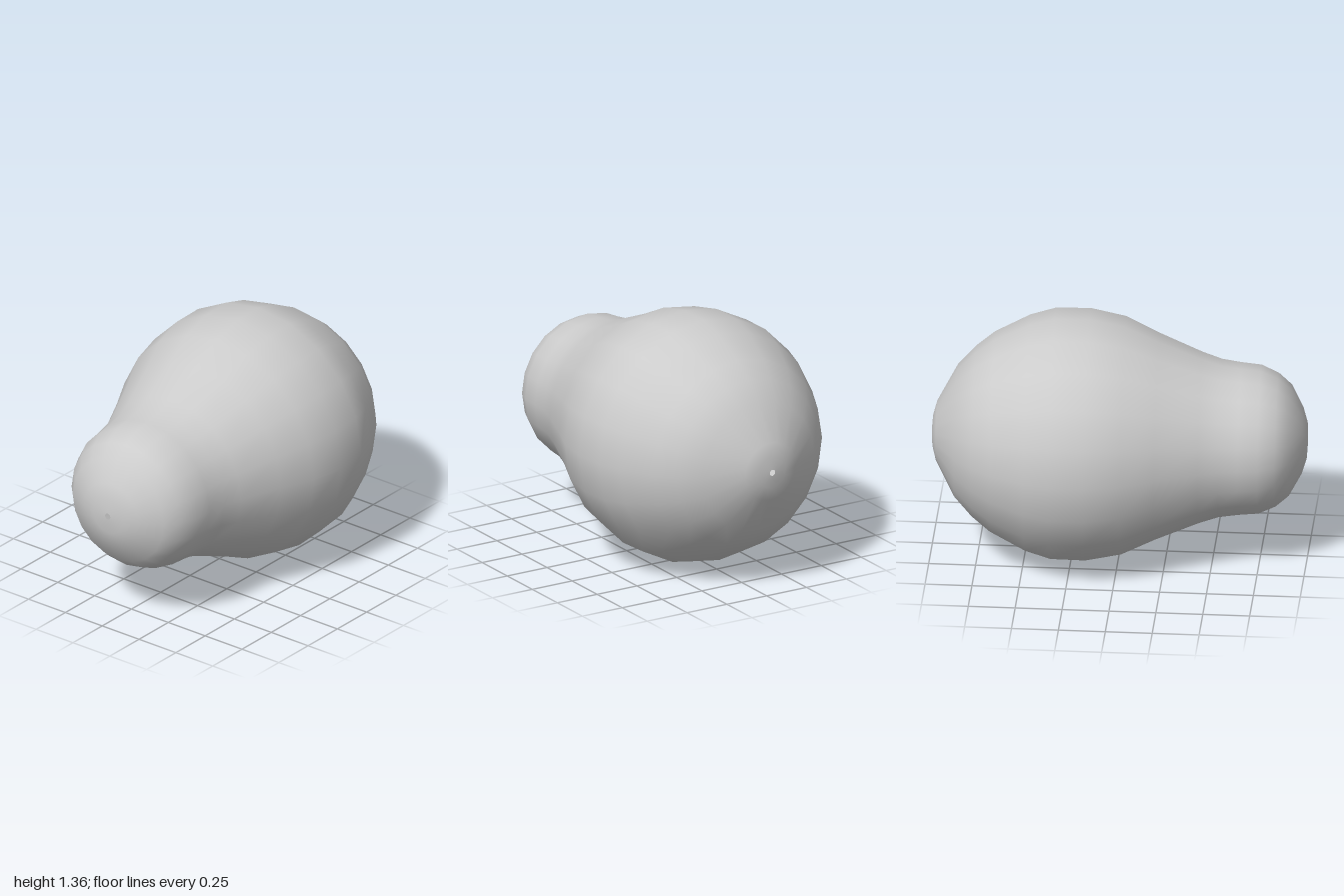
import * as THREE from 'three';

export function createModel() {
  const group = new THREE.Group();

  // Pear profile as [distance along the core, radius], neck end first;
  // a pin-sized opening is left at each end.
  const profile = [
    [-1, 0.017], [-0.995, 0.1], [-0.97, 0.18], [-0.905, 0.3], [-0.835, 0.36],
    [-0.745, 0.4], [-0.64, 0.41], [-0.535, 0.425], [-0.43, 0.46], [-0.2, 0.555],
    [-0.02, 0.64], [0.17, 0.678], [0.355, 0.675], [0.49, 0.635], [0.675, 0.54],
    [0.775, 0.46], [0.87, 0.357], [0.975, 0.16], [0.995, 0.085], [1, 0.017],
  ].map(([along, radius]) => new THREE.Vector2(radius, along));

  // Lay the lathe on its side, with a slight tilt of its core
  const geometry = new THREE.LatheGeometry(profile, 20);
  geometry.rotateZ(-Math.PI / 2 + 0.011);
  geometry.rotateY(0.037);
  geometry.translate(0, 0.681, 0);

  const material = new THREE.MeshStandardMaterial({ color: 0xcccccc, side: THREE.DoubleSide });
  const body = new THREE.Mesh(geometry, material);
  body.name = 'pearBody';
  group.add(body);
  return group;
}
